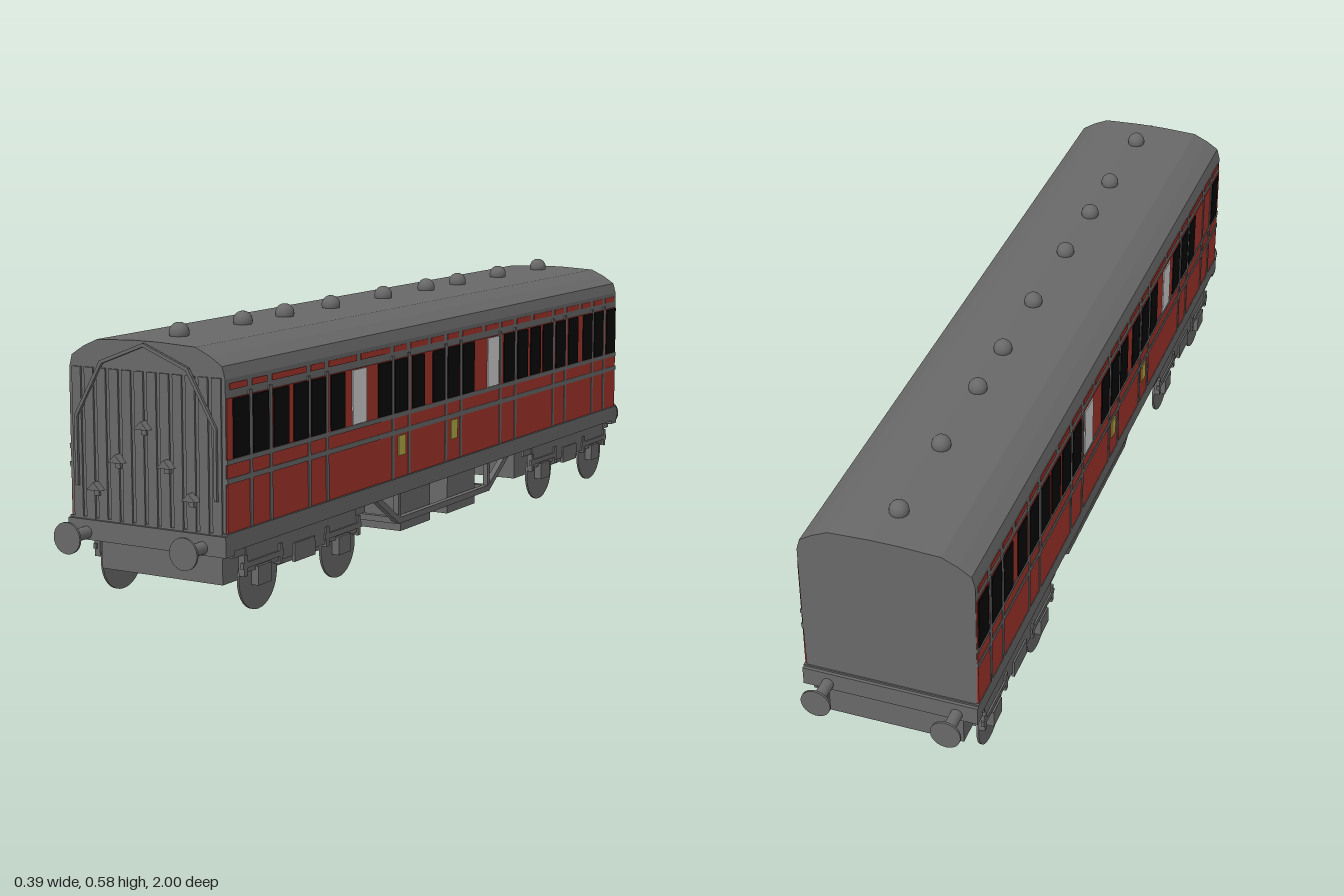
import * as THREE from 'three';

export function createModel() {
  const model = new THREE.Group();
  model.name = 'railwayCoach';
  const mat = (name, color) => {
    const m = new THREE.MeshStandardMaterial({ color });
    m.name = name;
    return m;
  };
  const grey = mat('grey', 0x686868);
  const red = mat('crimson', 0xa0322a);
  const black = mat('windowBlack', 0x080808);
  const white = mat('frostedWhite', 0xcfcfcf);
  const gold = mat('gold', 0xb5a847);

  const add = (parent, name, geo, material, x = 0, y = 0, z = 0) => {
    const m = new THREE.Mesh(geo, material);
    m.name = name;
    m.position.set(x, y, z);
    parent.add(m);
    return m;
  };
  // box given by its limits on each axis
  const box = (parent, name, material, x0, x1, y0, y1, z0, z1) =>
    add(parent, name, new THREE.BoxGeometry(Math.abs(x1 - x0), y1 - y0, Math.abs(z1 - z0)), material,
      (x0 + x1) / 2, (y0 + y1) / 2, (z0 + z1) / 2);
  // square bar between two points in a plane of constant x or z
  const bar = (parent, name, a, b, t) => {
    const p = new THREE.Vector3(...a), q = new THREE.Vector3(...b);
    const m = add(parent, name, new THREE.BoxGeometry(t, t, p.distanceTo(q) + t * 0.5), grey);
    m.position.copy(p).add(q).multiplyScalar(0.5);
    m.lookAt(q);
    return m;
  };

  // body shell with arched roof
  const half = [[0.188, 0.18], [0.19, 0.3], [0.19, 0.49], [0.183, 0.515], [0.155, 0.533], [0.12, 0.549], [0.03, 0.553]];
  const outline = [...half, ...half.map(([x, y]) => [-x, y]).reverse()];
  const shell = new THREE.ExtrudeGeometry(new THREE.Shape(outline.map((p) => new THREE.Vector2(...p))),
    { depth: 1.85, bevelEnabled: false });
  add(model, 'bodyShell', shell, grey, 0, 0, -0.925);

  // roof ventilators
  for (const z of [0.82, 0.59, 0.427, 0.235, 0, -0.207, -0.368, -0.588, -0.823])
    add(model, 'ventilator', new THREE.SphereGeometry(0.021, 20, 12), grey, 0.008, 0.56, z);

  // painted sides
  const windows = [0.875, 0.805, 0.73, 0.655, 0.588, 0.51, 0.312, 0.24, 0.162, 0.066, -0.004, -0.079,
    -0.29, -0.363, -0.435, -0.505, -0.58, -0.655, -0.743, -0.813, -0.89];
  const lines = [0.84, 0.768, 0.623, 0.552, 0.276, 0.203, 0.03, -0.043, -0.245, -0.326, -0.54, -0.61, -0.775, -0.848];
  for (const s of [1, -1]) {
    const side = new THREE.Group();
    side.name = s > 0 ? 'leftSide' : 'rightSide';
    model.add(side);
    const plate = (name, m, out, y0, y1, z0, z1) => box(side, name, m, s * 0.188, s * out, y0, y1, z0, z1);
    plate('sidePanel', red, 0.192, 0.185, 0.452, -0.923, 0.923);
    plate('waistRail', grey, 0.1935, 0.321, 0.331, -0.925, 0.925);
    plate('lowerWaistRail', grey, 0.1935, 0.283, 0.294, -0.925, 0.925);
    for (const z of lines) plate('verticalBeading', grey, 0.1935, 0.185, 0.46, z - 0.005, z + 0.005);
    // name boards above the windows, broken at the beading
    const edges = [0.92, ...lines, 0.42, 0.107, -0.16, -0.42, -0.7, -0.92].sort((a, b) => a - b);
    for (let i = 0; i < edges.length - 1; i++)
      plate('upperPanel', red, 0.1915, 0.468, 0.481, edges[i] + 0.009, edges[i + 1] - 0.009);
    for (const z of windows) {
      if (s < 0 && (z === 0.805 || z === 0.73)) continue;
      plate('window', black, 0.1945, 0.332, 0.45, z - 0.028, z + 0.028);
    }
    for (const z of [0.421, -0.205]) plate('frostedWindow', white, 0.1945, 0.332, 0.45, z - 0.029, z + 0.029);
    for (const z of [0.237, -0.009]) plate('crest', gold, 0.1945, 0.234, 0.279, z - 0.015, z + 0.015);
  }

  // front end: vertical boarding, steps and handrails
  const front = new THREE.Group();
  front.name = 'frontEnd';
  model.add(front);
  for (let i = 0; i < 12; i++) {
    const x = (i - 5.5) * 0.031;
    box(front, 'endBoard', grey, x - 0.011, x + 0.011, 0.18, 0.492, 0.92, 0.929);
  }
  const wedge = new THREE.Shape([[-0.017, 0], [0.017, 0], [0, 0.017]].map((p) => new THREE.Vector2(...p)));
  for (const [x, y] of [[0, 0.378], [-0.065, 0.305], [0.055, 0.305], [-0.12, 0.244], [0.113, 0.244]]) {
    add(front, 'endStep', new THREE.ExtrudeGeometry(wedge, { depth: 0.02, bevelEnabled: false }), grey, x, y, 0.926);
    box(front, 'stepBracket', grey, x - 0.006, x + 0.006, y - 0.012, y, 0.925, 0.935);
  }
  for (const s of [1, -1]) {
    const rail = [[0.17, 0.25], [0.17, 0.392], [0.105, 0.505], [0, 0.546]];
    for (let i = 0; i < 3; i++)
      bar(front, 'endHandrail', [s * rail[i][0], rail[i][1], 0.931], [s * rail[i + 1][0], rail[i + 1][1], 0.931], 0.007);
  }

  // underframe, buffer beams and buffers
  box(model, 'underframe', grey, -0.193, 0.194, 0.147, 0.184, -0.928, 0.928);
  for (const s of [1, -1]) {
    box(model, 'bufferBeam', grey, -0.193, 0.194, 0.138, 0.18, s * 0.905, s * 0.935);
    for (const x of [-0.147, 0.138]) {
      const cyl = (name, r, len, z) =>
        add(model, name, new THREE.CylinderGeometry(r, r, len, 24).rotateX(Math.PI / 2), grey, x, 0.153, s * z);
      cyl('bufferShank', 0.013, 0.07, 0.965);
      cyl('bufferHead', 0.033, 0.005, 0.9975);
    }
  }

  // bogies
  const cx = -0.006;
  for (const [zc, zs] of [[0.624, [0.78, 0.468]], [-0.67, [-0.518, -0.823]]]) {
    const bogie = new THREE.Group();
    bogie.name = zc > 0 ? 'frontBogie' : 'rearBogie';
    model.add(bogie);
    box(bogie, 'bogieBody', grey, cx - 0.15, cx + 0.15, 0.065, 0.15, zc - 0.25, zc + 0.25);
    for (const s of [1, -1]) {
      const part = (name, a, b, y0, y1, z, w) =>
        box(bogie, name, grey, cx + s * a, cx + s * b, y0, y1, z - w / 2, z + w / 2);
      part('sideFrame', 0.173, 0.183, 0.088, 0.147, zc, 0.43);
      part('boltedRail', 0.173, 0.18, 0.125, 0.147, zc, 0.515);
      part('centreSpring', 0.18, 0.187, 0.075, 0.115, zc, 0.08);
      for (const z of zs) {
        add(bogie, 'wheel', new THREE.CylinderGeometry(0.07, 0.07, 0.005, 32).rotateZ(Math.PI / 2), grey, cx + s * 0.17, 0.07, z);
        part('axleBox', 0.172, 0.19, 0.055, 0.095, z, 0.05);
        part('leafSpring', 0.18, 0.187, 0.098, 0.11, z, 0.15);
        for (const d of [-0.065, 0.065]) part('springHanger', 0.173, 0.187, 0.082, 0.125, z + d, 0.012);
      }
    }
  }

  // truss rods and equipment boxes
  for (const s of [1, -1]) {
    const x = cx + s * 0.155;
    const path = [[0.15, 0.3], [0.07, 0.18], [0.07, -0.26], [0.15, -0.38]];
    for (let i = 0; i < 3; i++) bar(model, 'trussRod', [x, ...path[i]], [x, ...path[i + 1]], 0.014);
    for (const z of [0.18, -0.26]) bar(model, 'trussPost', [x, 0.07, z], [x, 0.15, z], 0.012);
  }
  for (const z of [0.18, -0.26])
    box(model, 'trussCrossBar', grey, cx - 0.155, cx + 0.155, 0.063, 0.077, z - 0.007, z + 0.007);
  for (const [z0, z1] of [[0.01, 0.15], [-0.215, -0.075]])
    box(model, 'equipmentBox', grey, -0.145, 0.14, 0.038, 0.15, z0, z1);

  return model;
}
